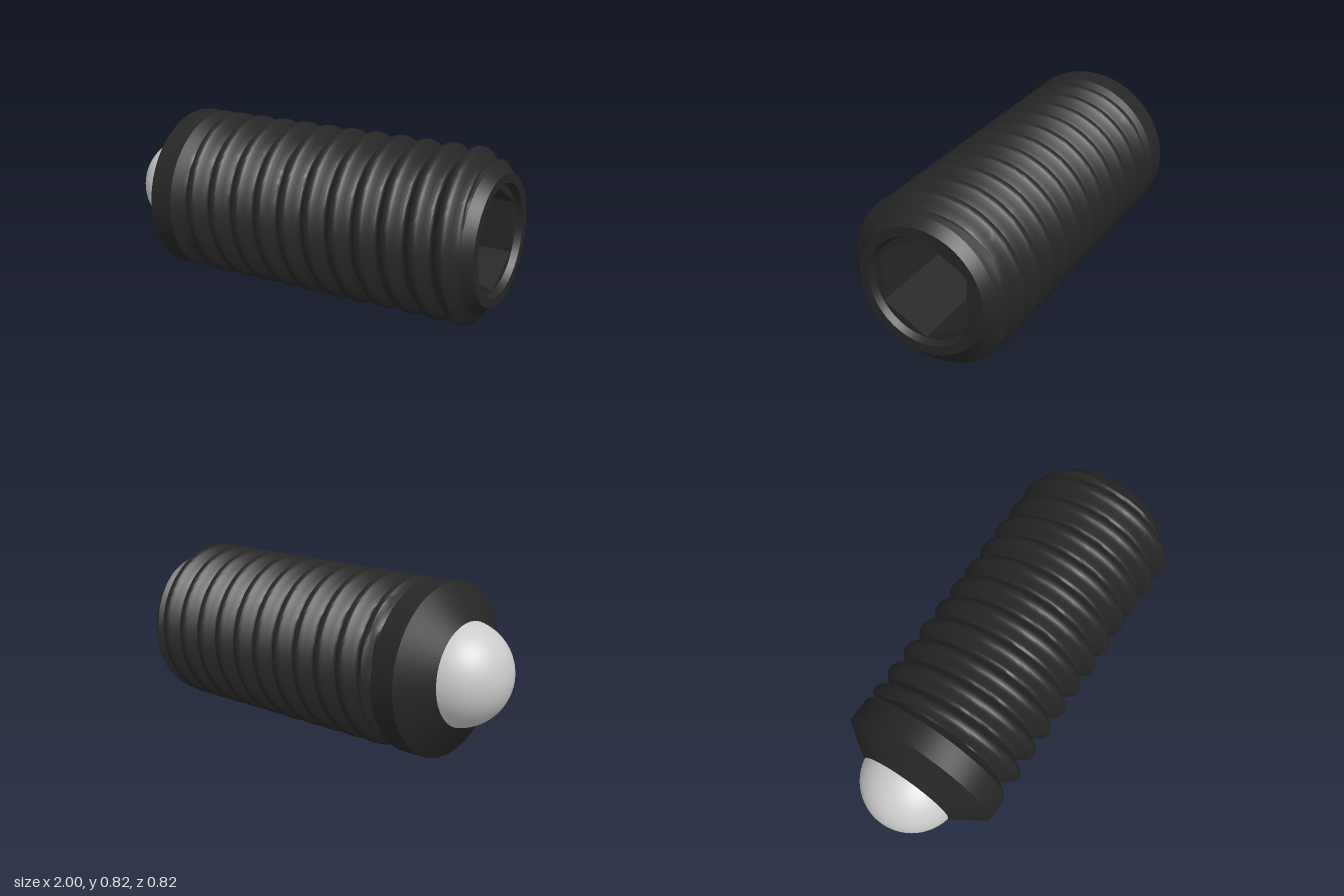
import * as THREE from 'three';
import { toCreasedNormals } from 'three/addons/utils/BufferGeometryUtils.js';

const AXIS_Y = 0.41;   // height of the screw axis
const R = 0.41;        // crest radius
const ROOT = 0.35;     // thread root radius
const PITCH = 0.133;
const START = -0.57, END = 0.95;

const steel = new THREE.MeshStandardMaterial({ color: 0x262626 });
const grey = new THREE.MeshStandardMaterial({ color: 0xcccccc });

// Lathe around the x axis; each point is [radius, x]
function turned(points, creaseAngle = 0.4) {
  const profile = points.map(([r, x]) => new THREE.Vector2(r, x));
  const geo = new THREE.LatheGeometry(profile, 96).rotateZ(-Math.PI / 2);
  return toCreasedNormals(geo, creaseAngle);
}

// Thread form: [fraction of pitch from crest, height 0..1]
const FORM = [[0, 1], [0.08, 1], [0.13, 0.94], [0.2, 0.78], [0.3, 0.46], [0.4, 0.14], [0.45, 0.03], [0.5, 0]];

function formHeight(t) {
  const d = Math.abs(t - Math.round(t));
  for (let i = 1; i < FORM.length; i++) {
    const [a, ha] = FORM[i - 1], [b, hb] = FORM[i];
    if (d <= b) return ha + (hb - ha) * (d - a) / (b - a);
  }
  return 0;
}

// Helical surface: the grid lines follow the helix, ends are cut square
function threadGeometry() {
  const around = 96;
  const stations = [];
  const offsets = [...FORM.map(f => f[0]), ...FORM.slice(1, -1).reverse().map(f => 1 - f[0])];
  for (let k = -2; k <= 11; k++) for (const o of offsets) stations.push(k + o);

  const pos = [], index = [];
  for (let j = 0; j <= around; j++) {
    const turn = j / around;
    const angle = turn * Math.PI * 2;
    for (const s of stations) {
      const x = THREE.MathUtils.clamp(-0.48 + PITCH * (s + turn), START, END);
      const phase = (x + 0.48) / PITCH - turn;
      const fadeIn = THREE.MathUtils.clamp((x + 0.55) / 0.04, 0, 1);
      let r = ROOT + (R - ROOT) * formHeight(phase) * fadeIn;
      r = Math.max(r, R - (x - START) * 1.3);        // shoulder behind the collar
      r = Math.min(r, 0.345 + (END - x) * 1.4);      // run-out at the socket end
      pos.push(x, r * Math.cos(angle), r * Math.sin(angle));
    }
  }
  const n = stations.length;
  for (let j = 0; j < around; j++) {
    for (let i = 0; i < n - 1; i++) {
      const a = j * n + i, b = a + n;
      index.push(a, b, a + 1, b, b + 1, a + 1);
    }
  }
  const geo = new THREE.BufferGeometry();
  geo.setAttribute('position', new THREE.Float32BufferAttribute(pos, 3));
  geo.setIndex(index);
  return toCreasedNormals(geo, 0.6);
}

// Disc with a hexagonal hole, running inwards from the countersink
function socketGeometry(frontX, depth) {
  const shape = new THREE.Shape().absarc(0, 0, 0.252, 0, Math.PI * 2);
  const hex = new THREE.Path();
  for (let i = 0; i < 6; i++) {
    const a = Math.PI / 2 - i * Math.PI / 3;
    const x = 0.248 * Math.cos(a), y = 0.248 * Math.sin(a);
    if (i === 0) hex.moveTo(x, y); else hex.lineTo(x, y);
  }
  hex.closePath();
  shape.holes.push(hex);
  const geo = new THREE.ExtrudeGeometry(shape, { depth, bevelEnabled: false, curveSegments: 48 });
  return geo.rotateY(Math.PI / 2).translate(frontX - depth, 0, 0);
}

export function createModel() {
  const group = new THREE.Group();
  group.name = 'ballEndSetScrew';

  const add = (name, geometry, material) => {
    const mesh = new THREE.Mesh(geometry, material);
    mesh.name = name;
    mesh.position.y = AXIS_Y;
    group.add(mesh);
    return mesh;
  };

  // Tapered nose and plain collar
  add('collar', turned([[0.18, -0.8], [0.245, -0.8], [R, -0.69], [R, START]]), steel);

  add('thread', threadGeometry(), steel);

  // Chamfered end face with countersink
  add('endFace', turned([[0.345, END], [0.31, 1], [0.265, 1], [0.25, 0.97]]), steel);

  // Hexagonal drive socket and its floor
  const depth = 0.45;
  add('hexSocket', socketGeometry(0.97, depth), steel);
  const floor = new THREE.CircleGeometry(0.252, 48).rotateY(Math.PI / 2).translate(0.97 - depth, 0, 0);
  add('socketFloor', floor, steel);

  // Ball held in the nose
  const ball = new THREE.SphereGeometry(0.25, 64, 40).rotateZ(Math.PI / 2).translate(-0.75, 0, 0);
  add('ball', ball, grey);

  return group;
}
